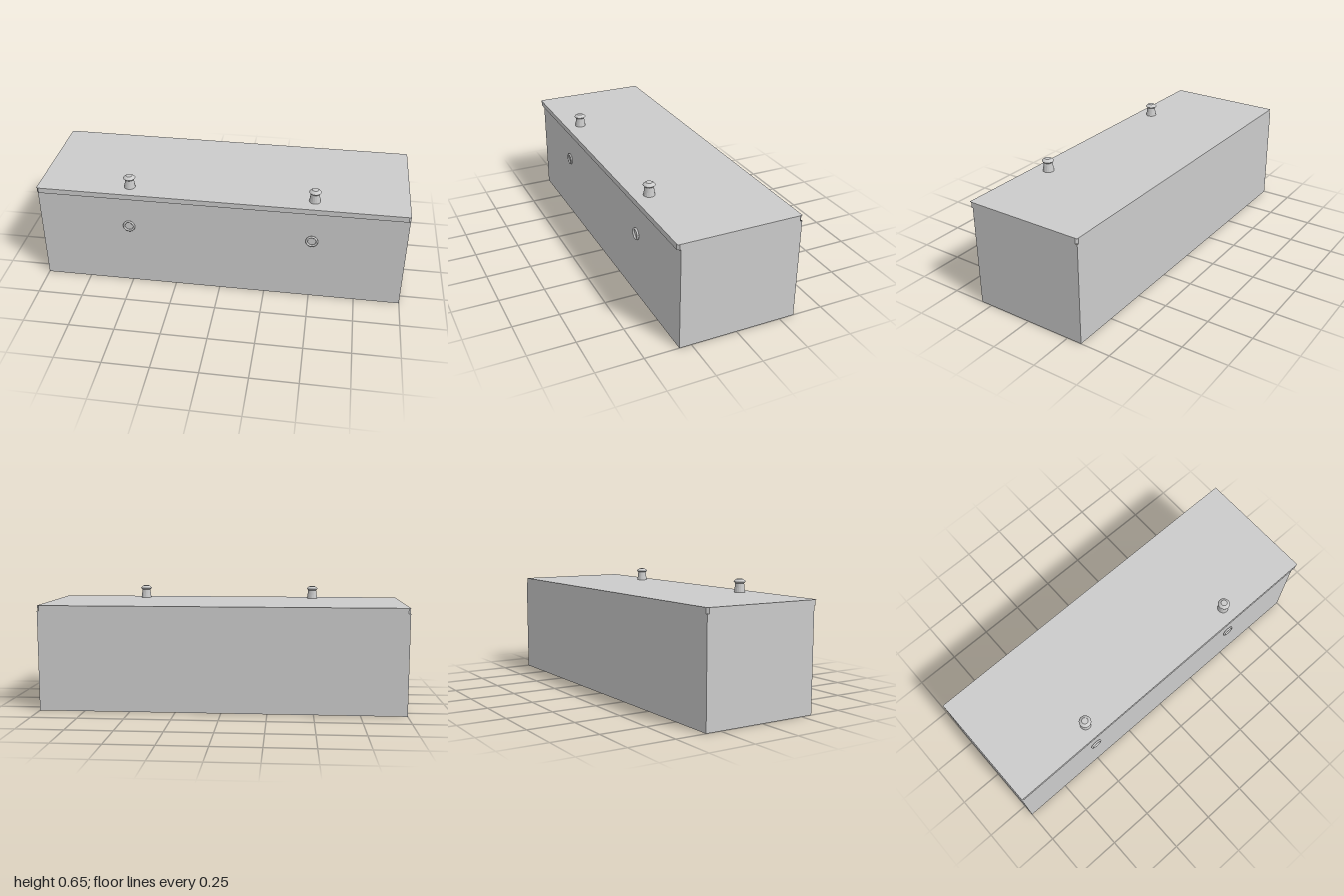
import * as THREE from 'three';

const grey = new THREE.MeshStandardMaterial({ color: 0xcccccc, side: THREE.DoubleSide });
const flat = new THREE.MeshStandardMaterial({ color: 0xcccccc, side: THREE.DoubleSide, flatShading: true });

const BACK = -0.333, FRONT = 0.333, WALL_FRONT = 0.315, RIM = 0.55, TOP = 0.58;

function add(group, name, geometry, material = grey) {
  const mesh = new THREE.Mesh(geometry, material);
  mesh.name = name;
  group.add(mesh);
  return mesh;
}

// Open band of thin upright walls following an [x, z] outline
// (listed so that the walls face outwards)
function band(outline, y0, y1) {
  const pos = [];
  outline.forEach(([ax, az], i) => {
    const [bx, bz] = outline[(i + 1) % outline.length];
    pos.push(ax, y0, az, bx, y0, bz, bx, y1, bz);
    pos.push(ax, y0, az, bx, y1, bz, ax, y1, az);
  });
  const g = new THREE.BufferGeometry();
  g.setAttribute('position', new THREE.Float32BufferAttribute(pos, 3));
  g.computeVertexNormals();
  return g;
}

// Horizontal sheet spanning the full width
function sheet(z0, z1, y, up) {
  const g = new THREE.PlaneGeometry(2, z1 - z0);
  g.rotateX(up ? -Math.PI / 2 : Math.PI / 2);
  return g.translate(0, y, (z0 + z1) / 2);
}

export function createModel() {
  const model = new THREE.Group();
  model.name = 'chest';

  // Four thin walls, open underneath
  add(model, 'walls', band([[-1, WALL_FRONT], [1, WALL_FRONT], [1, BACK], [-1, BACK]], 0, RIM));

  // Rim with small cut corners, overhanging the front wall
  const c = 0.011, n = 1 - c;
  add(model, 'rim', band([
    [-n, FRONT], [n, FRONT], [1, FRONT - c], [1, BACK + c],
    [n, BACK], [-n, BACK], [-1, BACK + c], [-1, FRONT - c],
  ], RIM, TOP));
  add(model, 'overhangUnderside', sheet(WALL_FRONT, FRONT - c, RIM, false));
  add(model, 'lid', sheet(BACK, FRONT, TOP, true));

  // Knob profile: tapered neck, flared head and flat top
  const profile = [[0.03, 0], [0.0265, 0.025], [0.024, 0.048], [0.033, 0.057], [0.028, 0.063], [0.017, 0.071], [0, 0.071]]
    .map(([r, y]) => new THREE.Vector2(r, y));

  for (const side of [-1, 1]) {
    const prefix = side > 0 ? 'left' : 'right';
    add(model, prefix + 'Knob', new THREE.LatheGeometry(profile, 16), flat)
      .position.set(side * 0.5, TOP, 0.246);
    add(model, prefix + 'Ring', new THREE.TorusGeometry(0.028, 0.006, 8, 20))
      .position.set(side * 0.5, 0.372, 0.322);
  }
  return model;
}
